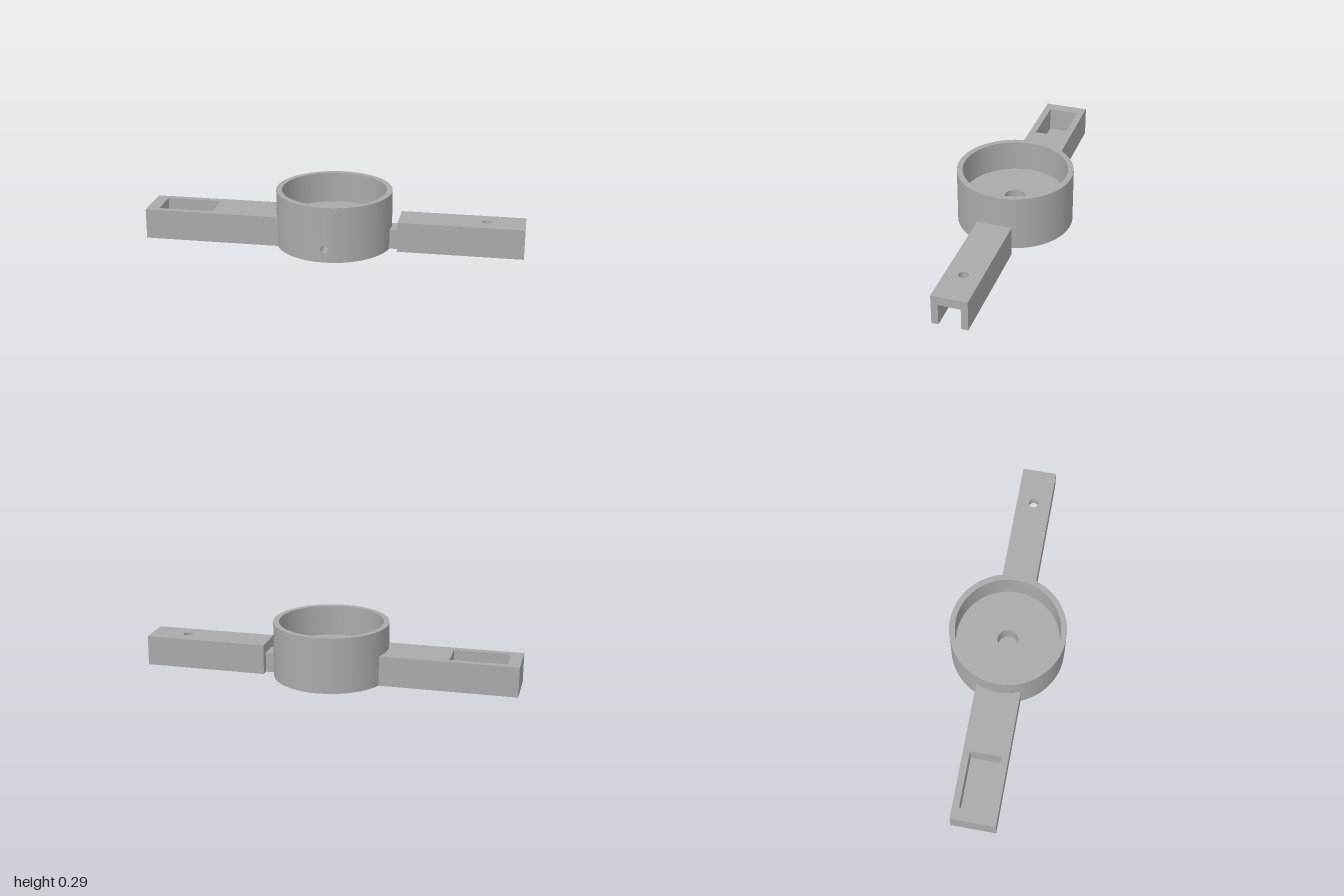
import * as THREE from 'three';
import { toCreasedNormals } from 'three/addons/utils/BufferGeometryUtils.js';

const R = 0.305, RIM = 0.275, H = 0.295, FLOOR = 0.13;

export function createModel() {
  const model = new THREE.Group();
  const grey = new THREE.MeshStandardMaterial({ color: 0xaaaaaa });
  const inner = new THREE.MeshStandardMaterial({ color: 0xaaaaaa, side: THREE.BackSide });
  grey.name = 'grey';
  inner.name = 'grey bore';

  const add = (parent, name, geometry, material = grey) => {
    const mesh = new THREE.Mesh(geometry, material);
    mesh.name = name;
    parent.add(mesh);
    return mesh;
  };
  const group = (name) => {
    const g = new THREE.Group();
    g.name = name;
    model.add(g);
    return g;
  };
  // Box given by its limits on each axis
  const box = (parent, name, x0, x1, y0, y1, z0, z1) => {
    const g = new THREE.BoxGeometry(x1 - x0, y1 - y0, z1 - z0);
    g.translate((x0 + x1) / 2, (y0 + y1) / 2, (z0 + z1) / 2);
    return add(parent, name, g);
  };
  const rect = (Type, x0, x1, y0, y1) => new Type([
    new THREE.Vector2(x0, y0), new THREE.Vector2(x1, y0),
    new THREE.Vector2(x1, y1), new THREE.Vector2(x0, y1)]);
  const circle = (x, y, r) => new THREE.Path().absarc(x, y, r, 0, Math.PI * 2, true);
  // Horizontal plate with an opening, from y0 to y1
  const plate = (parent, name, shape, hole, y0, y1) => {
    shape.holes.push(hole);
    const g = new THREE.ExtrudeGeometry(shape, { depth: y1 - y0, bevelEnabled: false, curveSegments: 20 });
    g.rotateX(-Math.PI / 2).translate(0, y0, 0);
    return add(parent, name, toCreasedNormals(g, 0.6));
  };
  const lathe = (parent, name, pts) => add(parent, name, toCreasedNormals(
    new THREE.LatheGeometry(pts.map(([x, y]) => new THREE.Vector2(x, y)), 96), 0.6));

  // Round cup: rim, inside wall, floor and centre recess
  const cup = group('cup');
  lathe(cup, 'cupInside', [[R, H], [RIM, H], [RIM, FLOOR], [0.055, FLOOR], [0.055, 0.03], [0, 0.03]]);
  lathe(cup, 'cupBottom', [[0, 0], [R, 0]]);

  // Outer wall, with a bent front panel that holds the bore opening
  const a = 0.1, boreY = 0.07, boreR = 0.02;
  const wall = new THREE.CylinderGeometry(R, R, H, 94, 1, true, a, Math.PI * 2 - 2 * a);
  add(cup, 'cupWall', wall.translate(0, H / 2, 0));
  const panel = rect(THREE.Shape, -R * a, R * a, 0, H);
  panel.holes.push(circle(0, boreY, boreR));
  const panelGeo = new THREE.ShapeGeometry(panel, 10);
  const pos = panelGeo.attributes.position, nor = panelGeo.attributes.normal;
  for (let i = 0; i < pos.count; i++) {
    const t = pos.getX(i) / R;
    pos.setXYZ(i, R * Math.sin(t), pos.getY(i), R * Math.cos(t));
    nor.setXYZ(i, Math.sin(t), 0, Math.cos(t));
  }
  add(cup, 'frontPanel', panelGeo);
  const bore = new THREE.CylinderGeometry(boreR, boreR, R - 0.055, 20, 1, true);
  bore.rotateX(Math.PI / 2).translate(0, boreY, (R + 0.055) / 2);
  add(cup, 'frontBore', bore, inner);

  // Wide arm with a rectangular pocket open at the top
  const wide = group('pocketArm');
  plate(wide, 'pocketWalls', rect(THREE.Shape, -1, -0.278, -0.118, 0.118),
    rect(THREE.Path, -0.935, -0.64, -0.082, 0.082), 0.03, 0.16);
  box(wide, 'pocketBase', -1, -0.278, 0, 0.03, -0.118, 0.118);

  // Narrow arm: channel open below and at the end, with a hole in its top
  const narrow = group('channelArm');
  plate(narrow, 'channelTop', rect(THREE.Shape, 0.347, 1, -0.092, 0.092),
    circle(0.8, 0, 0.025), 0.113, 0.16);
  for (const s of [-1, 1]) {
    const z = [s * 0.057, s * 0.092].sort((p, q) => p - q);
    box(narrow, 'channelSide', 0.347, 1, 0, 0.113, z[0], z[1]);
  }
  box(narrow, 'channelEnd', 0.347, 0.46, 0, 0.113, -0.057, 0.057);

  // Neck joining the narrow arm to the cup
  box(model, 'neck', 0.28, 0.36, 0, 0.105, -0.053, 0.053);

  return model;
}
